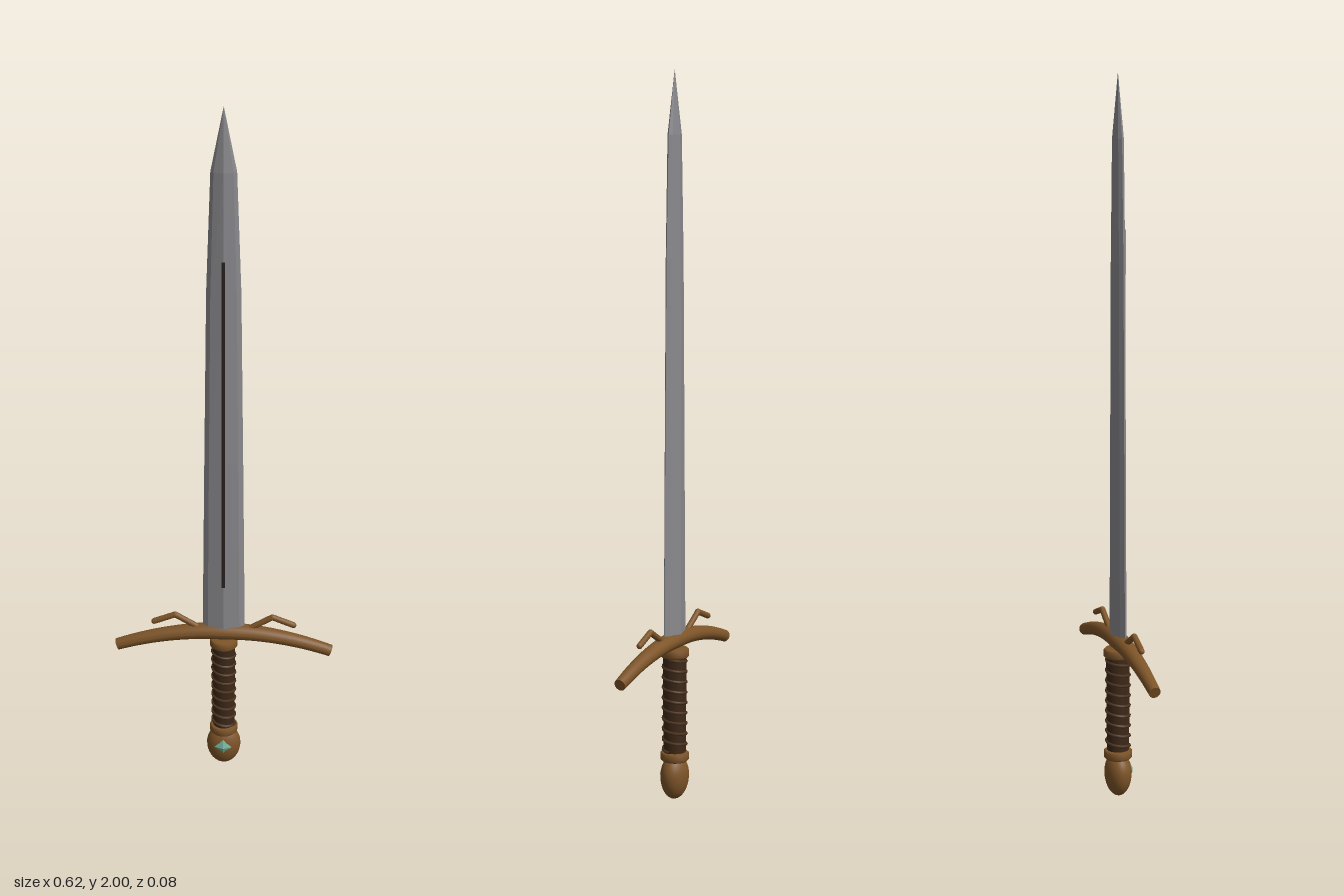
import * as THREE from 'three';

const mat = (name, color, extra = {}) =>
  Object.assign(new THREE.MeshStandardMaterial({ color, ...extra }), { name });

// Blade: bevelled eight-sided cross-section lofted up to a point
function bladeGeometry() {
  const section = [[1, 0], [0.75, 0.48], [0, 1], [-0.75, 0.48], [-1, 0], [-0.75, -0.48], [0, -1], [0.75, -0.48]];
  const levels = [[0.45, 0.06, 0.02], [1.0, 0.053, 0.019], [1.5, 0.046, 0.0182], [1.83, 0.034, 0.0165], [2, 0.0003, 0.0003]];
  const point = (i, j) => {
    const [y, w, d] = levels[i], [x, z] = section[j % 8];
    return [x * w, y, z * d];
  };
  const pos = [];
  for (let i = 0; i < levels.length - 1; i++) {
    for (let j = 0; j < 8; j++) {
      const a = point(i, j), b = point(i, j + 1), c = point(i + 1, j), d = point(i + 1, j + 1);
      pos.push(...a, ...c, ...b, ...b, ...c, ...d);
    }
  }
  const geo = new THREE.BufferGeometry();
  geo.setAttribute('position', new THREE.Float32BufferAttribute(pos, 3));
  geo.computeVertexNormals();
  return geo;
}

// Crossguard: capped bar, tapered to its ends and bent downwards
function guardGeometry() {
  const half = 0.305, drop = 0.056;
  const geo = new THREE.CylinderGeometry(1, 1, half * 2, 24, 32).rotateZ(Math.PI / 2);
  const p = geo.attributes.position;
  for (let i = 0; i < p.count; i++) {
    const x = p.getX(i), t = x / half, a = Math.abs(t);
    const ry = (0.024 - 0.007 * a) * p.getY(i);
    const slope = Math.atan(-2 * drop * t / half);
    p.setXYZ(i, x - Math.sin(slope) * ry, 0.454 - drop * t * t + Math.cos(slope) * ry, (0.028 - 0.012 * a) * p.getZ(i));
  }
  geo.computeVertexNormals();
  return geo;
}

export function createModel() {
  const group = new THREE.Group();
  group.name = 'sword';
  const steel = mat('steel', 0x8a8a8e, { flatShading: true });
  const bronze = mat('bronze', 0x7d5428);
  const leather = mat('leather', 0x3d2818);
  const cord = mat('cord', 0x4c321d);
  const dark = mat('dark groove', 0x2a2220);
  const gem = mat('green gem', 0x72b09a, { flatShading: true });

  const add = (name, geo, material, x = 0, y = 0, z = 0) => {
    const mesh = new THREE.Mesh(geo, material);
    mesh.name = name;
    mesh.position.set(x, y, z);
    group.add(mesh);
    return mesh;
  };

  add('blade', bladeGeometry(), steel);
  const groove = add('groove', new THREE.BoxGeometry(0.009, 0.98, 0.005), dark, 0, 1.1, 0.0177);
  groove.rotation.x = -0.0018;

  add('crossguard', guardGeometry(), bronze);

  // Bent hooks above the guard
  for (const s of [-1, 1]) {
    const pts = [[0.062, 0.458], [0.138, 0.504], [0.198, 0.48]].map(([x, y]) => new THREE.Vector3(s * x, y, 0));
    const name = s > 0 ? 'leftHook' : 'rightHook';
    for (let i = 0; i < 2; i++) {
      const dir = pts[i + 1].clone().sub(pts[i]);
      const mid = pts[i].clone().add(pts[i + 1]).multiplyScalar(0.5);
      const bar = add(name, new THREE.CapsuleGeometry(0.0085, dir.length(), 4, 10), bronze, mid.x, mid.y, 0);
      bar.quaternion.setFromUnitVectors(new THREE.Vector3(0, 1, 0), dir.normalize());
    }
  }

  // Grip with spiral cord
  add('grip', new THREE.CylinderGeometry(0.033, 0.031, 0.3, 24), leather, 0, 0.27, 0);
  const turns = 9, helix = [];
  for (let i = 0; i <= turns * 16; i++) {
    const a = i / 16 * Math.PI * 2;
    helix.push(new THREE.Vector3(Math.cos(a) * 0.032, 0.138 + 0.265 * i / (turns * 16), Math.sin(a) * 0.032));
  }
  add('gripCord', new THREE.TubeGeometry(new THREE.CatmullRomCurve3(helix), turns * 24, 0.0045, 6), cord);

  // Collars at both ends of the grip
  for (const [name, y] of [['upperCollar', 0.418], ['lowerCollar', 0.123]]) {
    const profile = [[0, -0.013], [0.035, -0.013], [0.04, -0.008], [0.04, 0.008], [0.035, 0.013], [0, 0.013]];
    add(name, new THREE.LatheGeometry(profile.map(([x, h]) => new THREE.Vector2(x, h)), 32), bronze, 0, y, 0);
  }

  // Egg-shaped pommel, flattened front to back
  const egg = [];
  for (let i = 0; i <= 20; i++) {
    const a = -Math.PI / 2 + Math.PI * i / 20;
    egg.push(new THREE.Vector2(Math.max(0, Math.cos(a)) * 0.049, 0.068 + Math.sin(a) * (a < 0 ? 0.068 : 0.058)));
  }
  add('pommel', new THREE.LatheGeometry(egg, 32), bronze).scale.z = 0.76;

  // Faceted gem set in the front of the pommel
  add('gem', new THREE.OctahedronGeometry(0.025), gem, 0, 0.072, 0.034).scale.z = 0.4;

  return group;
}
